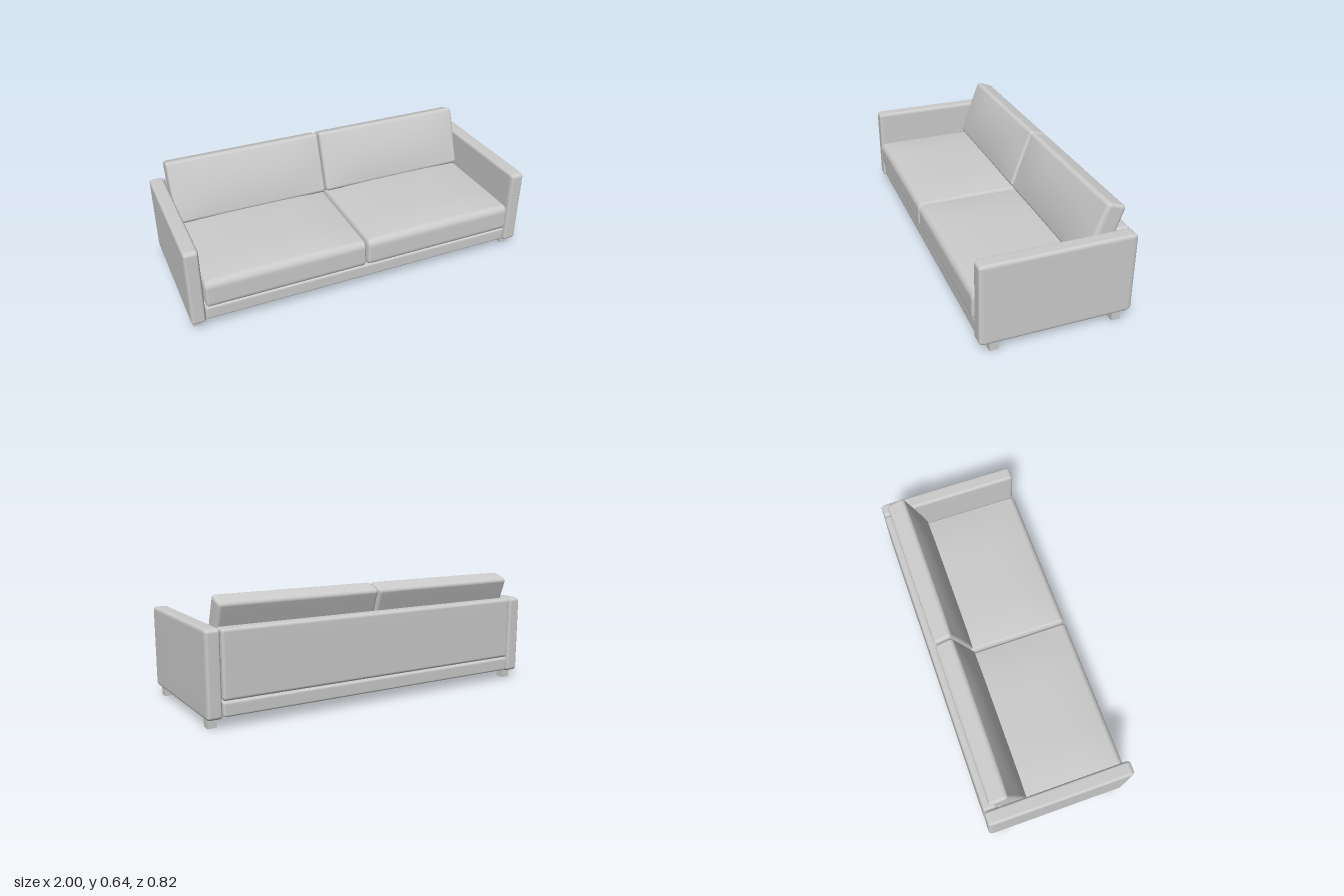
import * as THREE from 'three';
import { mergeVertices } from 'three/addons/utils/BufferGeometryUtils.js';

const material = new THREE.MeshStandardMaterial({ color: 0xcccccc });

// Box with rounded edges (one radius per axis) and an optional padding rule
function softBox([w, h, d], radii, pad) {
  const n = 16, flat = 0.5;
  const geo = new THREE.BoxGeometry(2, 2, 2, n, n, n);
  geo.deleteAttribute('uv');
  geo.deleteAttribute('normal');
  const half = [w / 2, h / 2, d / 2];
  const pos = geo.attributes.position;
  for (let i = 0; i < pos.count; i++) {
    const inner = [], out = [];
    for (let a = 0; a < 3; a++) {
      const t = pos.getComponent(i, a), core = half[a] - radii[a];
      inner[a] = core * THREE.MathUtils.clamp(t / flat, -1, 1);
      out[a] = Math.sign(t) * Math.max(0, Math.abs(t) - flat) / (1 - flat);
    }
    const len = Math.hypot(...out);
    const p = new THREE.Vector3(...inner.map((c, a) => c + out[a] / len * radii[a]));
    if (pad) pad(p, p.x / half[0], p.y / half[1], p.z / half[2]);
    pos.setXYZ(i, p.x, p.y, p.z);
  }
  const merged = mergeVertices(geo, 1e-5);
  merged.computeVertexNormals();
  return merged;
}

export function createModel() {
  const sofa = new THREE.Group();
  sofa.name = 'sofa';

  const add = (name, geometry, x, y, z) => {
    const mesh = new THREE.Mesh(geometry, material);
    mesh.name = name;
    mesh.position.set(x, y, z);
    sofa.add(mesh);
    return mesh;
  };

  // Frame: base rail and upright back panel between the arms
  add('base', softBox([1.836, 0.077, 0.81], [0.012, 0.012, 0.012]), 0, 0.0985, -0.005);
  add('backPanel', softBox([1.832, 0.357, 0.08], [0.015, 0.018, 0.018]), 0, 0.3185, -0.37);

  const armGeo = softBox([0.08, 0.45, 0.82], [0.014, 0.02, 0.03]);
  const legGeo = new THREE.BoxGeometry(0.05, 0.054, 0.05);

  // Seat pad: crowned top
  const seatGeo = softBox([0.912, 0.16, 0.745], [0.018, 0.035, 0.035], (p, u, v, w) => {
    if (v > 0) p.y += 0.024 * v * (1 - u ** 4) * (1 - w ** 4);
  });
  // Back pad: padded front face
  const backGeo = softBox([0.912, 0.36, 0.109], [0.018, 0.02, 0.022], (p, u, v, w) => {
    if (w > 0) p.z += 0.018 * w * (1 - u ** 6) * (1 - v * v);
  });

  for (const [side, s] of [['left', 1], ['right', -1]]) {
    add(side + 'Arm', armGeo, s * 0.96, 0.275, 0);
    add(side + 'SeatCushion', seatGeo, s * 0.459, 0.218, 0.0425);
    add(side + 'BackCushion', backGeo, s * 0.459, 0.463, -0.269).rotation.x = -0.35;
    add(side + 'FrontLeg', legGeo, s * 0.96, 0.027, 0.33);
    add(side + 'BackLeg', legGeo, s * 0.96, 0.027, -0.333);
  }
  return sofa;
}
